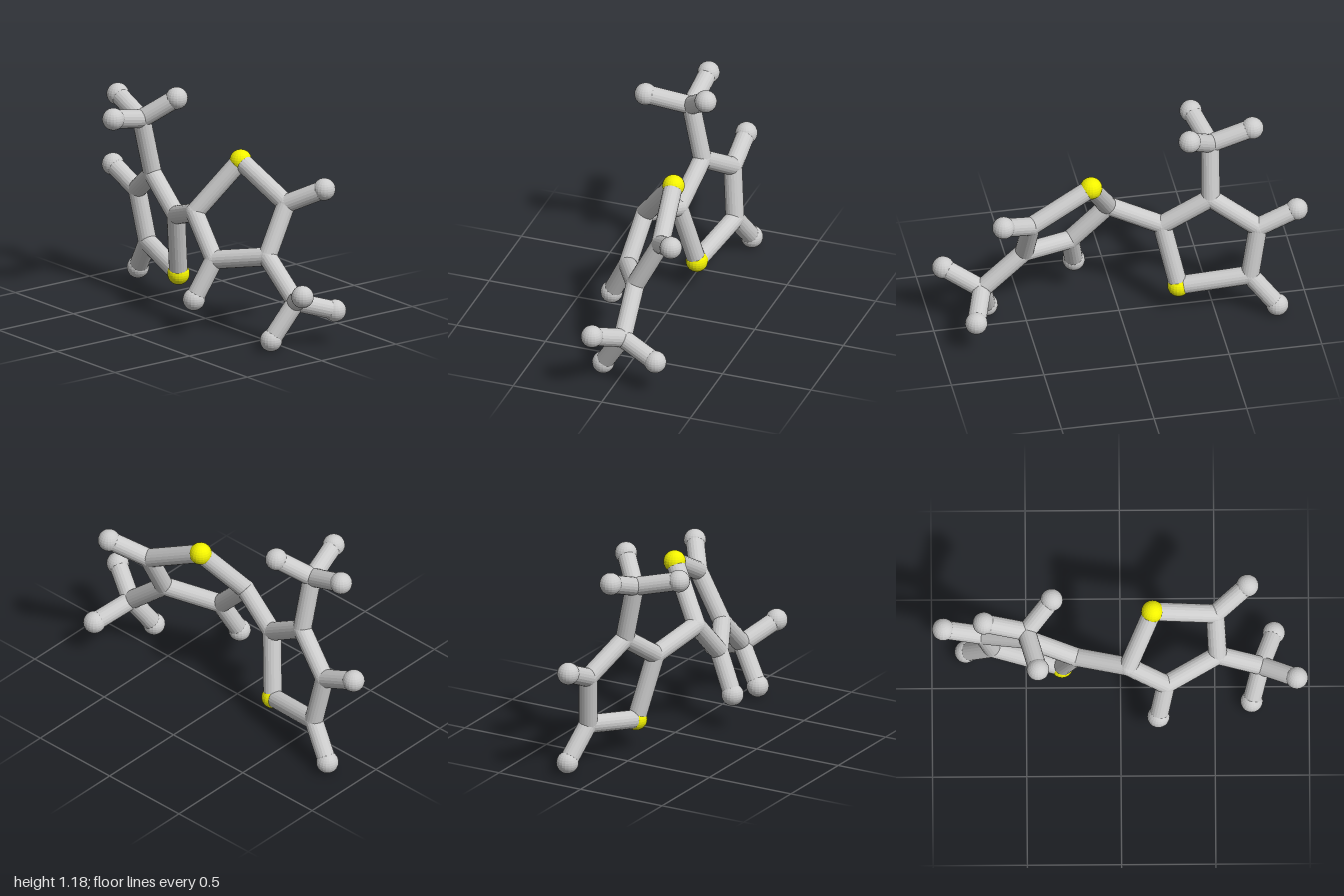
import * as THREE from 'three';

const BOND_RADIUS = 0.05;
const grey = new THREE.MeshStandardMaterial({ color: 0xcccccc, flatShading: true });
const yellow = new THREE.MeshStandardMaterial({ color: 0xf2f200, flatShading: true });

// Each ring unit: atom positions, keyed by role
const leftUnit = {
  sulfur: [-0.31, 0.17, -0.06],
  link: [-0.235, 0.525, 0.015],
  ringA: [-0.49, 0.69, -0.025],
  ringB: [-0.73, 0.53, -0.11],
  ringC: [-0.68, 0.245, -0.14],
  methyl: [-0.5, 1.0, 0.042],
  hydrogenB: [-0.94, 0.62, -0.11],
  hydrogenC: [-0.82, 0.065, -0.185],
  methylHydrogen1: [-0.725, 1.083, 0.025],
  methylHydrogen2: [-0.365, 1.122, -0.09],
  methylHydrogen3: [-0.44, 1.055, 0.277],
};
const rightUnit = {
  sulfur: [0.17, 0.9, -0.103],
  link: [0.04, 0.62, 0.105],
  ringA: [0.24, 0.41, 0.13],
  ringB: [0.515, 0.465, -0.013],
  ringC: [0.503, 0.73, -0.15],
  methyl: [0.745, 0.265, -0.025],
  hydrogenA: [0.2, 0.2, 0.235],
  hydrogenC: [0.675, 0.828, -0.272],
  methylHydrogen1: [0.935, 0.357, 0.078],
  methylHydrogen2: [0.815, 0.197, -0.235],
  methylHydrogen3: [0.695, 0.065, 0.102],
};

const ringBonds = [
  ['sulfur', 'link'], ['link', 'ringA'], ['ringA', 'ringB'],
  ['ringB', 'ringC'], ['ringC', 'sulfur'],
  ['methyl', 'methylHydrogen1'], ['methyl', 'methylHydrogen2'], ['methyl', 'methylHydrogen3'],
];

// Ball at an atom; carbon joints are as thick as the bonds
function atom(name, p) {
  const isSulfur = name === 'sulfur';
  const radius = isSulfur || /hydrogen/i.test(name) ? 0.06 : 0.051;
  const mesh = new THREE.Mesh(new THREE.SphereGeometry(radius, 20, 14), isSulfur ? yellow : grey);
  mesh.position.set(...p);
  mesh.name = name + 'Atom';
  return mesh;
}

// Rod between two atoms
function bond(name, p, q) {
  const a = new THREE.Vector3(...p), b = new THREE.Vector3(...q);
  const dir = b.clone().sub(a);
  const mesh = new THREE.Mesh(
    new THREE.CylinderGeometry(BOND_RADIUS, BOND_RADIUS, dir.length(), 20, 1), grey);
  mesh.position.copy(a).add(b).multiplyScalar(0.5);
  mesh.quaternion.setFromUnitVectors(new THREE.Vector3(0, 1, 0), dir.normalize());
  mesh.name = name;
  return mesh;
}

// Five-membered ring with its methyl group and hydrogens
function ringUnit(name, atoms, sideBonds) {
  const unit = new THREE.Group();
  unit.name = name;
  for (const [key, p] of Object.entries(atoms)) unit.add(atom(key, p));
  for (const [a, b] of [...ringBonds, ...sideBonds]) {
    unit.add(bond(`${a}To${b[0].toUpperCase()}${b.slice(1)}Bond`, atoms[a], atoms[b]));
  }
  return unit;
}

export function createModel() {
  const model = new THREE.Group();
  model.name = 'molecule';
  model.add(
    ringUnit('rightRing', leftUnit,
      [['ringA', 'methyl'], ['ringB', 'hydrogenB'], ['ringC', 'hydrogenC']]),
    ringUnit('leftRing', rightUnit,
      [['ringB', 'methyl'], ['ringA', 'hydrogenA'], ['ringC', 'hydrogenC']]),
    bond('ringLinkBond', leftUnit.link, rightUnit.link),
  );
  return model;
}
